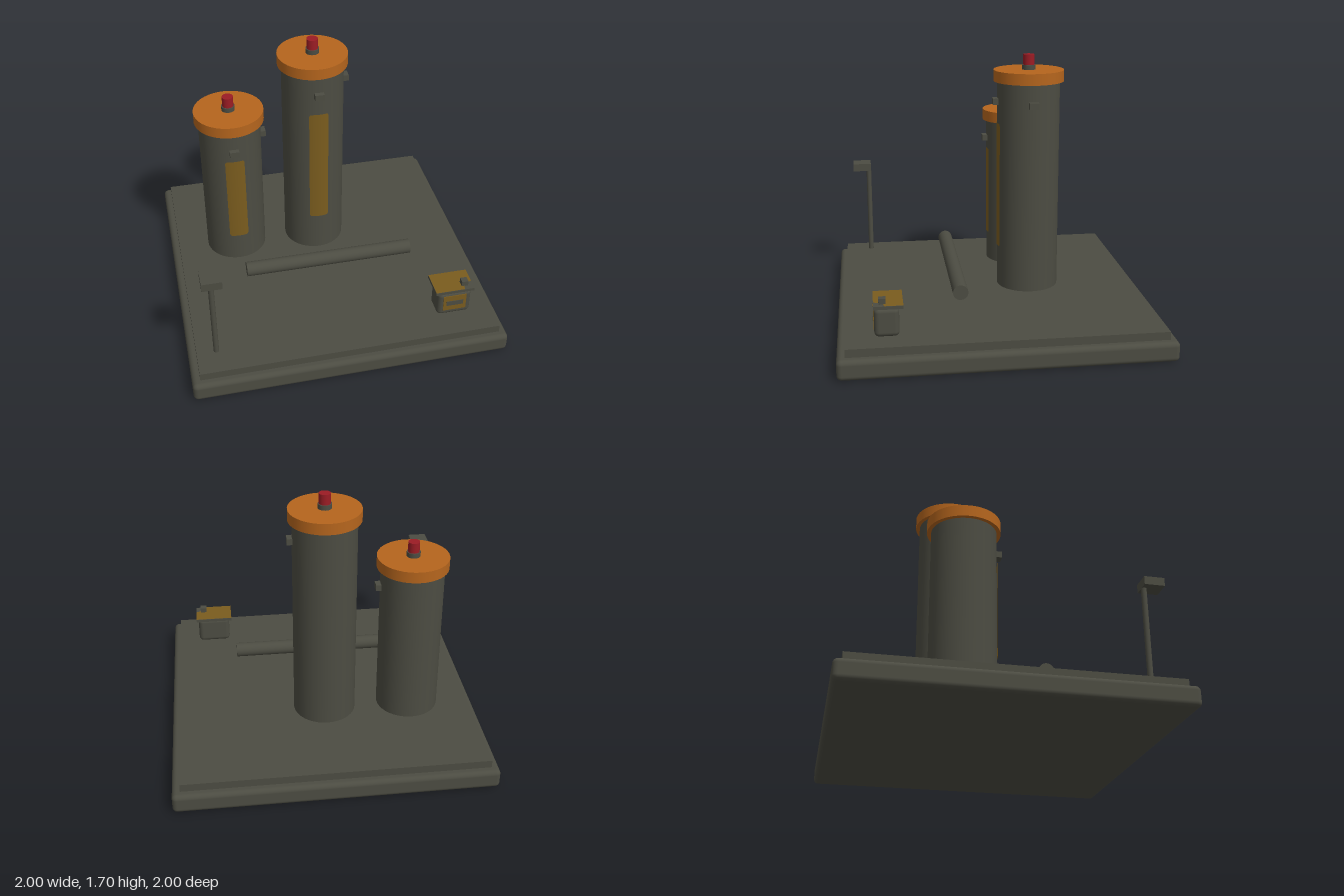
import * as THREE from 'three';
import { RoundedBoxGeometry } from 'three/addons/geometries/RoundedBoxGeometry.js';

const mat = (name, color) => new THREE.MeshStandardMaterial({ name, color });

export function createModel() {
  const grey = mat('olive grey', 0x4c4c42);
  const orange = mat('burnt orange', 0xb5651d);
  const gold = mat('dark gold', 0x7a5c1e);
  const red = mat('signal red', 0x9b1c24);
  gold.side = THREE.DoubleSide;

  const model = new THREE.Group();
  model.name = 'model';

  function add(parent, name, geometry, material, x, y, z) {
    const mesh = new THREE.Mesh(geometry, material);
    mesh.name = name;
    mesh.position.set(x, y, z);
    parent.add(mesh);
    return mesh;
  }
  // Box and cylinder placed by their bottom centre
  const box = (p, name, m, w, h, d, x, y, z) =>
    add(p, name, new THREE.BoxGeometry(w, h, d), m, x, y + h / 2, z);
  const cyl = (p, name, m, r, h, x, y, z, n = 40) =>
    add(p, name, new THREE.CylinderGeometry(r, r, h, n), m, x, y + h / 2, z);

  // Plate wrapped around a cylinder, with rounded corners
  function wrappedPanel(radius, halfWidth, height, corner) {
    const g = new THREE.PlaneGeometry(2 * halfWidth, height, 24, 1);
    const pos = g.attributes.position;
    const nor = g.attributes.normal;
    for (let i = 0; i < pos.count; i++) {
      const x = pos.getX(i);
      const over = Math.max(0, Math.abs(x) - (halfWidth - corner));
      const inset = corner - Math.sqrt(Math.max(0, corner * corner - over * over));
      const y = Math.sign(pos.getY(i)) * (height / 2 - inset);
      const z = Math.sqrt(radius * radius - x * x);
      pos.setXYZ(i, x, y, z);
      nor.setXYZ(i, x / radius, 0, z / radius);
    }
    return g;
  }

  // Base slab and raised deck
  add(model, 'base', new RoundedBoxGeometry(2, 0.125, 2, 4, 0.03), grey, 0, 0.0625, 0);
  box(model, 'deck', grey, 1.9, 0.055, 1.9, 0, 0.12, 0);

  // Towers with cap, beacon, side lugs and front panel
  function tower(name, x, top, panelBottom, panelTop) {
    const t = new THREE.Group();
    t.name = name;
    t.position.set(x, 0, -0.25);
    cyl(t, 'towerBody', grey, 0.2, top - 0.17, 0, 0.17, 0);
    cyl(t, 'towerCap', orange, 0.225, 0.072, 0, top, 0);
    cyl(t, 'beaconCollar', grey, 0.043, 0.03, 0, top + 0.072, 0, 24);
    cyl(t, 'beacon', red, 0.036, 0.066, 0, top + 0.102, 0, 24);
    box(t, 'frontLug', grey, 0.06, 0.04, 0.06, 0, top - 0.148, 0.202);
    box(t, 'sideLug', grey, 0.06, 0.04, 0.06, 0.202, top - 0.148, 0);
    add(t, 'frontPanel', wrappedPanel(0.203, 0.0625, panelTop - panelBottom, 0.015),
      gold, 0, (panelTop + panelBottom) / 2, 0);
    model.add(t);
  }
  tower('shortTower', -0.55, 1.18, 0.37, 0.98);
  tower('tallTower', 0, 1.53, 0.445, 1.262);

  // Horizontal pipe in front of the towers
  const pipe = add(model, 'pipe', new THREE.CylinderGeometry(0.047, 0.047, 1.1, 32),
    grey, 0, 0.327, 0.25);
  pipe.rotation.z = Math.PI / 2;

  // Lamp post
  const lamp = new THREE.Group();
  lamp.name = 'lampPost';
  cyl(lamp, 'post', grey, 0.017, 0.62, -0.827, 0.17, 0.775, 16);
  box(lamp, 'lampHead', grey, 0.122, 0.052, 0.124, -0.827, 0.778, 0.822);
  model.add(lamp);

  // Control box with lid, knob and front plate
  const control = new THREE.Group();
  control.name = 'controlBox';
  add(control, 'controlBody', new RoundedBoxGeometry(0.22, 0.18, 0.147, 4, 0.03),
    grey, 0.7, 0.263, 0.706);
  box(control, 'lid', grey, 0.25, 0.02, 0.175, 0.698, 0.352, 0.695);
  box(control, 'knob', grey, 0.042, 0.036, 0.042, 0.77, 0.371, 0.73);
  box(control, 'frontPlate', gold, 0.15, 0.115, 0.006, 0.7, 0.215, 0.78);
  box(control, 'label', grey, 0.11, 0.035, 0.006, 0.7, 0.254, 0.783);
  // Lid plate with one front corner cut away
  const s = new THREE.Shape([[-0.125, -0.087], [0.06, -0.087], [0.075, -0.04],
    [0.125, -0.02], [0.125, 0.087], [-0.125, 0.087]].map(([a, b]) => new THREE.Vector2(a, b)));
  const plate = add(control, 'lidPlate', new THREE.ShapeGeometry(s), gold, 0.698, 0.374, 0.695);
  plate.rotation.x = -Math.PI / 2;
  model.add(control);

  return model;
}
